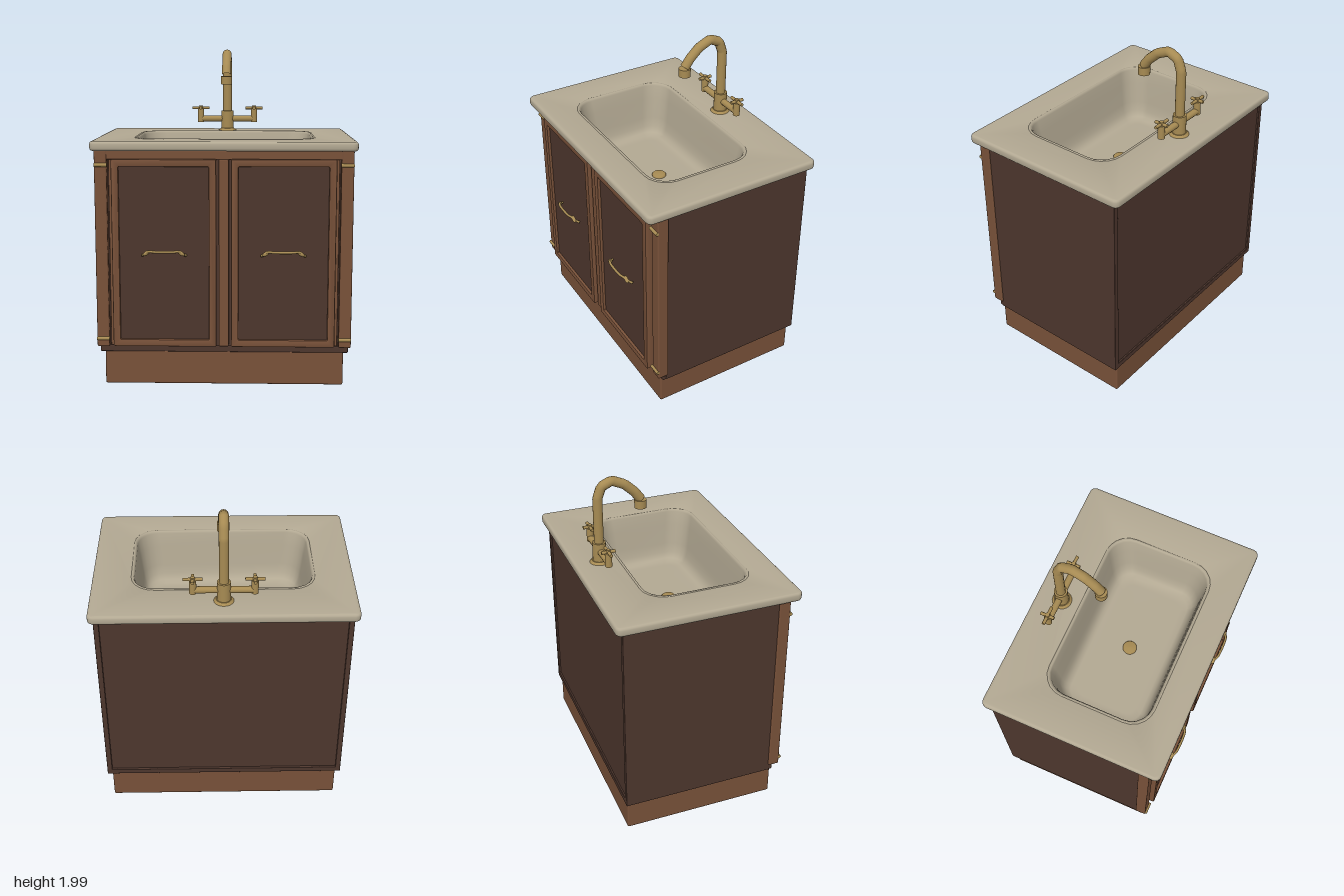
import * as THREE from 'three';
import { toCreasedNormals } from 'three/addons/utils/BufferGeometryUtils.js';
import { RoundedBoxGeometry } from 'three/addons/geometries/RoundedBoxGeometry.js';

const mat = (name, color) => Object.assign(new THREE.MeshStandardMaterial({ color }), { name });

export function createModel() {
  const root = new THREE.Group();
  root.name = 'sinkCabinet';
  const wood = mat('warmWood', 0x785139);
  const dark = mat('darkWood', 0x4d362d);
  const stone = mat('stone', 0xb3a993);
  const brass = mat('brass', 0xa78b53);

  const add = (name, geo, material, x = 0, y = 0, z = 0, parent = root) => {
    const m = new THREE.Mesh(geo, material);
    m.name = name;
    m.position.set(x, y, z);
    parent.add(m);
    return m;
  };
  // box given by its min and max on each axis
  const box = (name, material, x0, x1, y0, y1, z0, z1, r = 0.006, parent = root) =>
    add(name, new RoundedBoxGeometry(x1 - x0, y1 - y0, z1 - z0, 2, r), material,
      (x0 + x1) / 2, (y0 + y1) / 2, (z0 + z1) / 2, parent);
  const cyl = (name, r0, r1, h, x, y, z, parent = root, seg = 20) =>
    add(name, new THREE.CylinderGeometry(r0, r1, h, seg), brass, x, y, z, parent);

  // outline of a rounded rectangle
  const outline = (hx, hy, r, n = 5) => {
    const pts = [];
    for (let q = 0; q < 4; q++) {
      const sx = q === 0 || q === 3 ? 1 : -1, sy = q < 2 ? 1 : -1;
      for (let i = 0; i <= n; i++) {
        const a = (q + i / n) * Math.PI / 2;
        pts.push(new THREE.Vector2(sx * (hx - r) + r * Math.cos(a), sy * (hy - r) + r * Math.sin(a)));
      }
    }
    return pts;
  };
  // bevelled slab with a rectangular opening
  const framed = (outer, inner, depth, bevel, segs) => {
    const shape = new THREE.Shape(outer);
    shape.holes.push(new THREE.Path(inner));
    const g = new THREE.ExtrudeGeometry(shape, {
      depth: depth - 2 * bevel, bevelSize: bevel, bevelThickness: bevel, bevelOffset: -bevel, bevelSegments: segs,
    });
    g.translate(0, 0, bevel);
    return toCreasedNormals(g, 0.7);
  };

  // carcass, hollow for the basin
  box('plinth', wood, -0.712, 0.712, 0, 0.205, -0.5, 0.45, 0.01);
  box('cabinetFloor', dark, -0.74, 0.74, 0.198, 0.238, -0.512, 0.45);
  box('backPanel', dark, -0.72, 0.72, 0.21, 1.412, -0.504, -0.47);
  box('frontBacking', dark, -0.72, 0.72, 0.22, 1.41, 0.41, 0.445);
  box('topRail', wood, -0.7, 0.7, 1.358, 1.412, 0.42, 0.485);
  box('centreStile', wood, -0.029, 0.029, 0.245, 1.36, 0.42, 0.492);

  for (const s of [-1, 1]) {
    const sidePart = (name, material, a, b, ...rest) =>
      box(name, material, Math.min(s * a, s * b), Math.max(s * a, s * b), ...rest);
    sidePart('sidePanel', dark, 0.71, 0.742, 0.198, 1.413, -0.515, 0.43, 0.004);
    sidePart('cornerPost', wood, 0.68, 0.753, 0.24, 1.413, 0.42, 0.488, 0.008);
    sidePart('innerStile', wood, 0.655, 0.672, 0.245, 1.36, 0.42, 0.47, 0.004);

    // hinges
    for (const y of [0.29, 1.327]) {
      cyl('hinge', 0.011, 0.011, 0.075, s * 0.715, y, 0.49, root, 12).rotation.z = Math.PI / 2;
    }

    // door: frame, inner moulding and recessed panel
    const door = new THREE.Group();
    door.name = s > 0 ? 'leftDoor' : 'rightDoor';
    door.position.set(s * 0.348, 0.805, 0);
    root.add(door);
    add('doorFrame', framed(outline(0.305, 0.557, 0.006, 1), outline(0.262, 0.514, 0.004, 1), 0.06, 0.007, 2),
      wood, 0, 0, 0.45, door);
    add('doorPanel', new THREE.BoxGeometry(0.53, 1.034, 0.04), dark, 0, 0, 0.472, door);

    // curved pull handle
    const half = [[-0.128, -0.008, 0.5], [-0.112, 0.002, 0.518], [-0.085, 0.022, 0.538], [-0.06, 0.021, 0.545]];
    const pts = [...half, ...half.map(([x, y, z]) => [-x, y, z]).reverse()].map((p) => new THREE.Vector3(...p));
    add('handle', new THREE.TubeGeometry(new THREE.CatmullRomCurve3(pts), 32, 0.008, 8), brass, 0, 0, 0, door);
    for (const e of [-1, 1]) {
      const leaf = add('handleEnd', new THREE.SphereGeometry(0.012, 10, 8), brass, e * 0.1, 0.011, 0.527, door);
      leaf.scale.set(2.2, 1, 1);
      leaf.rotation.z = -e * 0.6;
    }
  }
  box('backBottomRail', dark, -0.72, 0.72, 0.2, 0.235, -0.515, -0.48, 0.003);

  // countertop with the basin opening
  const bz = 0.04;
  const hole = outline(0.53, 0.32, 0.13).map((p) => new THREE.Vector2(p.x, p.y - bz));
  const top = framed(outline(0.771, 0.555, 0.035, 4), hole, 0.054, 0.015, 3);
  top.rotateX(-Math.PI / 2);
  add('countertop', top, stone, 0, 1.413, 0);

  // basin lofted through rounded rectangles: half width, half depth, corner radius, height
  const sections = [
    [0.545, 0.335, 0.14, 1.463], [0.54, 0.33, 0.14, 1.47], [0.53, 0.32, 0.13, 1.469], [0.523, 0.313, 0.128, 1.455],
    [0.51, 0.3, 0.125, 1.37], [0.495, 0.283, 0.12, 1.24], [0.485, 0.272, 0.11, 1.18],
    [0.467, 0.252, 0.1, 1.145], [0.44, 0.228, 0.08, 1.132], [0.4, 0.19, 0.06, 1.13], [0, 0, 0, 1.13],
  ];
  const pos = [], idx = [];
  const n = outline(1, 1, 0.1).length;
  sections.forEach(([hx, hz, r, y], j) => {
    outline(hx, hz, r).forEach((p, i) => {
      pos.push(p.x, y, p.y + bz);
      if (j === 0) return;
      const a = (j - 1) * n + i, b = (j - 1) * n + (i + 1) % n, c = a + n, d = b + n;
      idx.push(a, c, b, b, c, d);
    });
  });
  const basin = new THREE.BufferGeometry();
  basin.setAttribute('position', new THREE.Float32BufferAttribute(pos, 3));
  basin.setIndex(idx);
  basin.computeVertexNormals();
  add('basin', basin, stone);
  const drain = [[0.043, 0], [0.043, 0.008], [0.036, 0.014], [0, 0.016]].map((p) => new THREE.Vector2(...p));
  add('drain', new THREE.LatheGeometry(drain, 24), brass, 0, 1.13, bz);

  // faucet
  const faucet = new THREE.Group();
  faucet.name = 'faucet';
  faucet.position.z = -0.4;
  root.add(faucet);
  cyl('baseFlange', 0.045, 0.06, 0.014, 0, 1.473, 0, faucet);
  cyl('column', 0.04, 0.04, 0.12, 0, 1.535, 0, faucet);
  const path = new THREE.CurvePath();
  const bend = [[1.56, 0], [1.87, 0], [1.94, 0.025], [1.969, 0.088], [1.935, 0.165], [1.88, 0.225], [1.83, 0.262]]
    .map(([y, z]) => new THREE.Vector3(0, y, z));
  for (let i = 1; i < bend.length; i++) path.add(new THREE.LineCurve3(bend[i - 1], bend[i]));
  add('spout', new THREE.TubeGeometry(path, 40, 0.029, 14), brass, 0, 0, 0, faucet);
  cyl('nozzle', 0.036, 0.036, 0.05, 0, 1.8, 0.262, faucet);
  cyl('crossPipe', 0.02, 0.02, 0.36, 0, 1.542, 0, faucet, 14).rotation.z = Math.PI / 2;
  for (const s of [-1, 1]) {
    const tap = new THREE.Group();
    tap.name = 'tap';
    tap.position.x = s * 0.176;
    faucet.add(tap);
    cyl('valve', 0.021, 0.021, 0.085, 0, 1.563, 0, tap, 14);
    cyl('valveCap', 0.013, 0.018, 0.025, 0, 1.615, 0, tap, 14);
    cyl('crossBar', 0.01, 0.01, 0.112, 0, 1.613, 0, tap, 10).rotation.z = Math.PI / 2;
    cyl('crossBar', 0.01, 0.01, 0.084, 0, 1.613, 0, tap, 10).rotation.x = Math.PI / 2;
  }
  return root;
}
